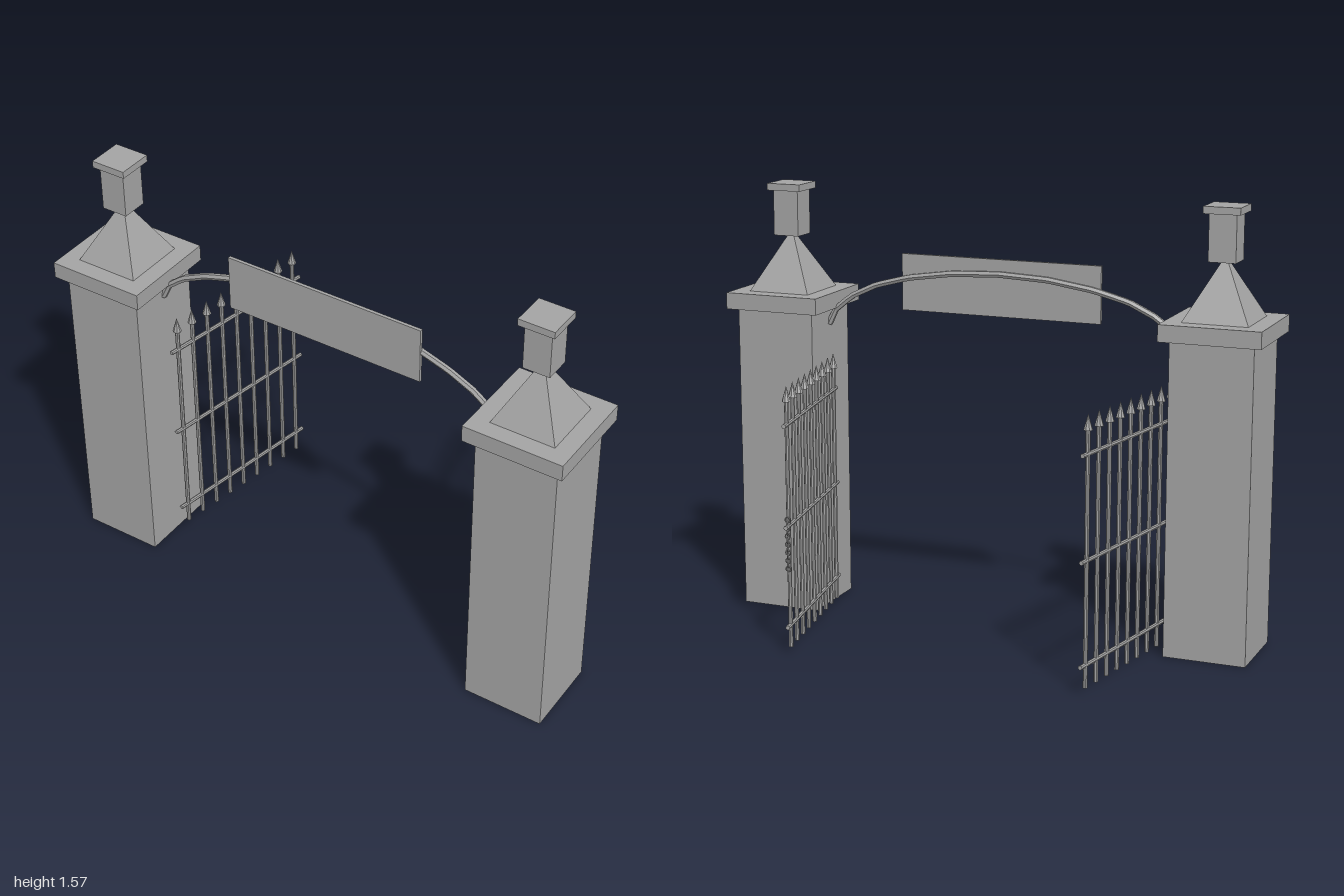
import * as THREE from 'three';

const stone = new THREE.MeshStandardMaterial({ color: 0xa3a3a3, flatShading: true });
stone.name = 'grey';

function add(parent, name, geometry, x, y, z) {
  const mesh = new THREE.Mesh(geometry, stone);
  mesh.name = name;
  mesh.position.set(x, y, z);
  parent.add(mesh);
  return mesh;
}

// Square block standing on height y0
function block(parent, name, width, y0, y1) {
  return add(parent, name, new THREE.BoxGeometry(width, y1 - y0, width), 0, (y0 + y1) / 2, 0);
}

function makePillar(side) {
  const pillar = new THREE.Group();
  pillar.name = side > 0 ? 'leftPillar' : 'rightPillar';
  pillar.position.set(side * 0.82, 0, 0.228);
  block(pillar, 'shaft', 0.296, 0, 1.12);
  block(pillar, 'capSlab', 0.36, 1.12, 1.18);
  const roof = new THREE.ConeGeometry(0.117 * Math.SQRT2, 0.22, 4).rotateY(Math.PI / 4);
  add(pillar, 'pyramid', roof, 0, 1.29, 0);
  block(pillar, 'finialNeck', 0.097, 1.38, 1.545);
  block(pillar, 'finialCap', 0.13, 1.545, 1.57);
  return pillar;
}

// Open gate leaf, hinged at its own origin and running back along -z
function makeGate(side) {
  const gate = new THREE.Group();
  gate.name = side > 0 ? 'leftGate' : 'rightGate';
  gate.position.set(side * 0.652, 0, 0.23);
  gate.rotation.y = side * THREE.MathUtils.degToRad(10);
  const length = 0.645;
  const bar = new THREE.CylinderGeometry(0.008, 0.008, 0.89, 8);
  const spike = new THREE.ConeGeometry(0.016, 0.055, 8);
  const rail = new THREE.CylinderGeometry(0.008, 0.008, length, 8).rotateX(Math.PI / 2);
  for (let i = 0; i < 9; i++) {
    const z = -0.034 - i * 0.0719;
    add(gate, 'bar', bar, 0, 0.465, z);
    add(gate, 'spike', spike, 0, 0.9275, z);
  }
  for (const y of [0.1, 0.46, 0.82]) add(gate, 'rail', rail, 0, y, -length / 2);

  // Hanging chain on the left leaf, links turned alternately
  if (side > 0) {
    const link = new THREE.TorusGeometry(0.009, 0.0025, 5, 10);
    for (let i = 0; i < 13; i++) {
      add(gate, 'chainLink', link, 0, 0.484 - i * 0.0147, -0.622).rotation.y = (i % 2) * Math.PI / 2;
    }
  }
  return gate;
}

export function createModel() {
  const model = new THREE.Group();
  model.name = 'gateway';
  for (const side of [-1, 1]) model.add(makePillar(side), makeGate(side));

  // Arch between the pillars, passing behind the sign
  const half = [[0.672, 1.06], [0.645, 1.115], [0.58, 1.168], [0.48, 1.215], [0.35, 1.25], [0.18, 1.275]];
  const points = [
    ...half.map(([x, y]) => [-x, y]), [0, 1.283], ...half.slice().reverse()
  ].map(([x, y]) => new THREE.Vector3(x, y, Math.abs(x) > 0.36 ? 0.225 : 0.219));
  const arch = new THREE.CurvePath();
  for (let i = 1; i < points.length; i++) arch.add(new THREE.LineCurve3(points[i - 1], points[i]));
  add(model, 'arch', new THREE.TubeGeometry(arch, 48, 0.012, 6), 0, 0, 0);

  // Blank sign board
  add(model, 'signBoard', new THREE.BoxGeometry(0.755, 0.205, 0.012), 0, 1.233, 0.229);
  return model;
}
